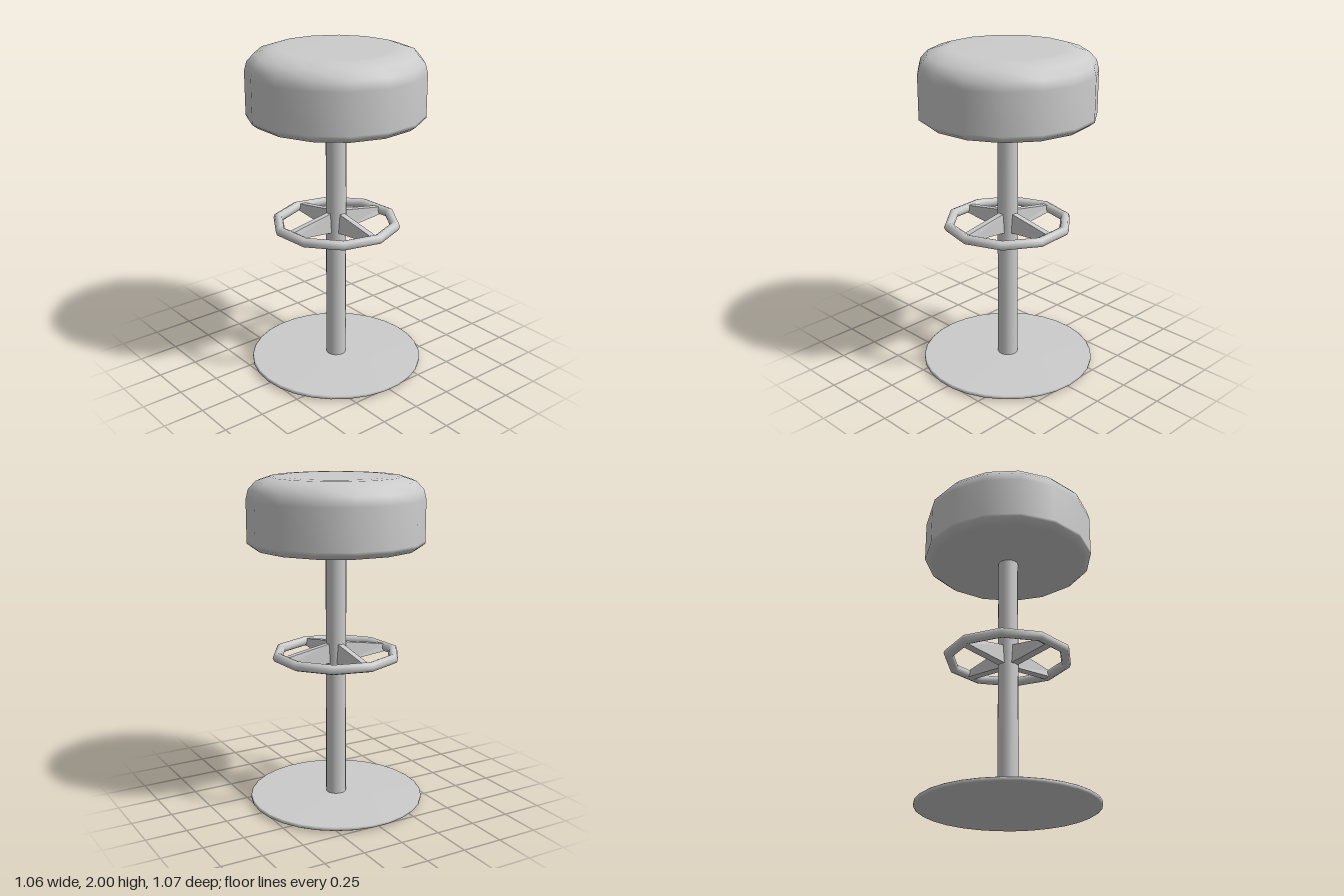
import * as THREE from 'three';

const metal = new THREE.MeshStandardMaterial({ color: 0xcccccc });

function addMesh(parent, name, geometry) {
  const mesh = new THREE.Mesh(geometry, metal);
  mesh.name = name;
  parent.add(mesh);
  return mesh;
}

// Turned part from a bottom-to-top profile of [radius, height] pairs
function turned(profile, sides) {
  const points = profile.map(([r, y]) => new THREE.Vector2(r, y));
  // half turn puts a corner at the back
  return new THREE.LatheGeometry(points, sides).rotateY(Math.PI);
}

// Tapered foot-ring spoke running along +x: deep at the pole, shallow at the ring
function spokeGeometry() {
  const g = new THREE.BoxGeometry(1, 1, 1);
  const p = g.attributes.position;
  for (let i = 0; i < p.count; i++) {
    const outer = p.getX(i) > 0;
    const top = p.getY(i) > 0;
    const x = outer ? 0.355 : 0.04;
    const y = top ? (outer ? 0.95 : 1.005) : (outer ? 0.91 : 0.88);
    const z = Math.sign(p.getZ(i)) * (top ? 0.018 : 0.026);
    p.setXYZ(i, x, y, z);
  }
  const flat = g.toNonIndexed();
  flat.computeVertexNormals();
  return flat;
}

export function createModel() {
  const model = new THREE.Group();
  model.name = 'barStool';

  // Thin floor disc, slightly domed on both faces
  addMesh(model, 'base', turned([
    [0, 0], [0.525, 0.01], [0.533, 0.015], [0.533, 0.029], [0.525, 0.034], [0, 0.042],
  ], 30));

  // Central column
  const pole = addMesh(model, 'pole', new THREE.CylinderGeometry(0.062, 0.062, 1.57, 15, 1, true));
  pole.position.y = 0.815;

  // Foot ring with four spokes
  const footRest = new THREE.Group();
  footRest.name = 'footRest';
  model.add(footRest);
  const ring = addMesh(footRest, 'footRing',
    new THREE.TorusGeometry(0.363, 0.03, 8, 10).rotateX(Math.PI / 2).rotateY(THREE.MathUtils.degToRad(4)));
  ring.position.y = 0.932;
  const spoke = spokeGeometry();
  for (let i = 0; i < 4; i++) {
    addMesh(footRest, 'spoke', spoke).rotation.y = i * Math.PI / 2;
  }

  // Padded seat: sharp lower chamfer, rounded upper edge
  addMesh(model, 'seat', turned([
    [0, 1.585], [0.47, 1.585], [0.492, 1.587], [0.525, 1.612], [0.525, 1.63], [0.525, 1.87],
    [0.511, 1.925], [0.468, 1.972], [0.39, 1.997], [0.33, 2], [0, 2],
  ], 15));

  return model;
}
